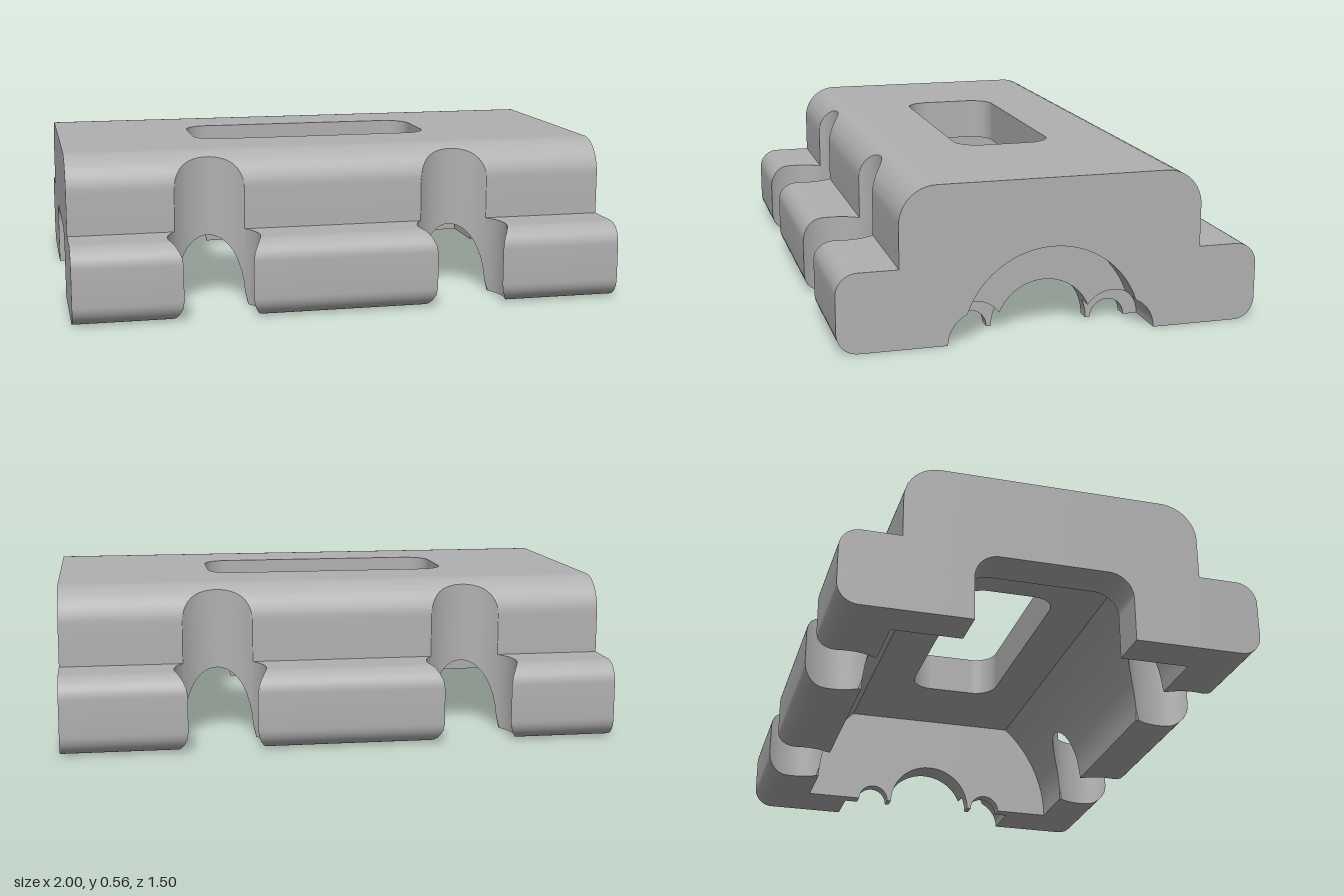
import * as THREE from 'three';
import { toCreasedNormals } from 'three/addons/utils/BufferGeometryUtils.js';

// circular dome height over z, zero outside
const dome = (z, c, r) => Math.sqrt(Math.max(0, r * r - (z - c) ** 2));

// outer profile of the clamp (half, z >= 0)
const topY = (z) => {
  if (z <= 0.405) return 0.56;
  if (z <= 0.535) return 0.43 + dome(z, 0.405, 0.13);
  return z <= 0.675 ? 0.28 : 0.205 + dome(z, 0.675, 0.075);
};
const foot = (z) => (z <= 0.675 ? 0 : 0.075 - dome(z, 0.675, 0.075));

// underside profiles, one for each stretch along x
const cavity = (z) => Math.max(foot(z), Math.min(0.4, dome(z, 0, 0.537)));
const squareMouth = (z) => {
  if (z > 0.285) return foot(z);
  return z < 0.195 ? 0.25 : 0.16 + dome(z, 0.195, 0.09);
};
const bearing = (z) => Math.max(foot(z), dome(z, 0, 0.175), dome(z, 0.255, 0.063));
const smallBore = (z) => Math.max(bearing(z), dome(z, 0.255, 0.115));
const largeBore = (z) => Math.max(smallBore(z), dome(z, 0, 0.32));
const stretches = [
  [-1, -0.85, squareMouth],
  [-0.85, 0.79, cavity],
  [0.79, 0.84, bearing],
  [0.84, 0.9, smallBore],
  [0.9, 1, largeBore],
];

// round side notches and the slot through the top
const EDGE = 0.75, NOTCH_Z = 0.64, NOTCH_R = 0.165;
const OPEN = Math.sqrt(NOTCH_R ** 2 - (EDGE - NOTCH_Z) ** 2);
const CENTRES = [-0.49, 0.43];
const SLOT_R = 0.09, SLOT_HALF = 0.18;
const slotEdge = (x) => {
  const d = Math.max(0, Math.min(x - CENTRES[0], CENTRES[1] - x));
  return SLOT_HALF - SLOT_R + dome(Math.min(d, SLOT_R), SLOT_R, SLOT_R);
};

// solid z ranges at x, for the slab whose middle is at mid
function ranges(x, mid) {
  const lo = mid > CENTRES[0] && mid < CENTRES[1] ? slotEdge(x) : 0;
  const c = CENTRES.find((v) => Math.abs(mid - v) < NOTCH_R);
  if (c === undefined) return [[lo, EDGE]];
  const w = dome(x, c, NOTCH_R);
  const out = [[lo, NOTCH_Z - w]];
  if (Math.abs(mid - c) > OPEN) out.push([Math.min(EDGE, NOTCH_Z + w), EDGE]);
  return out;
}

const sorted = (list) => list.sort((a, b) => a - b).filter((v, i, s) => i === 0 || v - s[i - 1] > 1e-5);

// sample lines across the width
function zSamples() {
  const zs = [0, 0.09, 0.285, 0.2852, 0.535, 0.5352, 0.675, EDGE];
  const arcs = [[0, 0.537], [0, 0.32], [0, 0.175], [0.255, 0.063], [0.255, 0.115],
    [0.195, 0.09], [0.405, 0.13], [0.675, 0.075]];
  for (const [c, r] of arcs) {
    for (let i = 0; i <= 24; i++) zs.push(c + r * Math.cos((i * Math.PI) / 24));
  }
  zs.push(Math.sqrt(0.537 ** 2 - 0.4 ** 2));
  return sorted(zs.filter((z) => z >= 0 && z <= EDGE));
}

// sample lines along the length
function xSamples() {
  const xs = stretches.flatMap(([a, b]) => [a, b]);
  for (const c of CENTRES) {
    const inward = c < 0 ? 1 : -1;
    xs.push(c);
    for (let i = 0; i <= 32; i++) xs.push(c + NOTCH_R * Math.cos((i * Math.PI) / 32));
    for (const d of [OPEN, 0.1272, 0.1274]) xs.push(c - d, c + d);
    for (let i = 0; i <= 10; i++) xs.push(c + inward * SLOT_R * (1 - Math.cos((i * Math.PI) / 20)));
  }
  return sorted(xs);
}

function clampGeometry() {
  const pos = [];
  const A = new THREE.Vector3(), B = new THREE.Vector3(), C = new THREE.Vector3();
  const tri = (a, b, c) => {
    A.set(...a); B.set(...b); C.set(...c);
    if (B.sub(A).cross(C.sub(A)).length() < 1e-9) return;
    pos.push(...a, ...b, ...c);
    for (const p of [a, c, b]) pos.push(p[0], p[1], -p[2]);
  };
  const quad = (a, b, c, d) => { tri(a, b, c); tri(a, c, d); };

  const zs = zSamples(), xs = xSamples();

  // slabs along x: top, underside and vertical cut walls
  for (let i = 0; i + 1 < xs.length; i++) {
    const xa = xs[i], xb = xs[i + 1], mid = (xa + xb) / 2;
    const under = stretches.find(([a, b]) => mid > a && mid < b)[2];
    const ra = ranges(xa, mid), rb = ranges(xb, mid);
    ra.forEach(([la, ha], n) => {
      const [lb, hb] = rb[n];
      const za = zs.map((z) => Math.min(ha, Math.max(la, z)));
      const zb = zs.map((z) => Math.min(hb, Math.max(lb, z)));
      for (let k = 0; k + 1 < zs.length; k++) {
        const at = (f) => [[xa, f(za[k]), za[k]], [xa, f(za[k + 1]), za[k + 1]],
          [xb, f(zb[k + 1]), zb[k + 1]], [xb, f(zb[k]), zb[k]]];
        quad(...at(topY));
        quad(...at(under).reverse());
      }
      const wall = (p, q) => [[xa, under(p), p], [xb, under(q), q], [xb, topY(q), q], [xa, topY(p), p]];
      quad(...wall(ha, hb));
      if (la > 0) quad(...wall(la, lb).reverse());
    });
  }

  // cross walls where the section changes from f to g
  const cap = (x, f, g, limit = EDGE) => {
    for (let k = 0; k + 1 < zs.length && zs[k + 1] <= limit + 1e-6; k++) {
      const p = zs[k], q = zs[k + 1];
      quad([x, g(p), p], [x, g(q), q], [x, f(q), q], [x, f(p), p]);
    }
  };
  stretches.forEach(([a, , f], i) => cap(a, i ? stretches[i - 1][2] : topY, f));
  cap(1, largeBore, topY);
  cap(CENTRES[0], cavity, topY, SLOT_HALF - SLOT_R);
  cap(CENTRES[1], topY, cavity, SLOT_HALF - SLOT_R);

  const geo = new THREE.BufferGeometry();
  geo.setAttribute('position', new THREE.Float32BufferAttribute(pos, 3));
  // enlarged while creasing so that close vertices stay distinct
  geo.scale(50, 50, 50);
  const smooth = toCreasedNormals(geo, 0.5);
  smooth.scale(0.02, 0.02, 0.02);
  return smooth;
}

export function createModel() {
  const grey = new THREE.MeshStandardMaterial({ color: 0xb0b0b0 });
  grey.name = 'grey';
  const body = new THREE.Mesh(clampGeometry(), grey);
  body.name = 'clampBody';
  const group = new THREE.Group();
  group.name = 'slottedClamp';
  group.add(body);
  return group;
}
